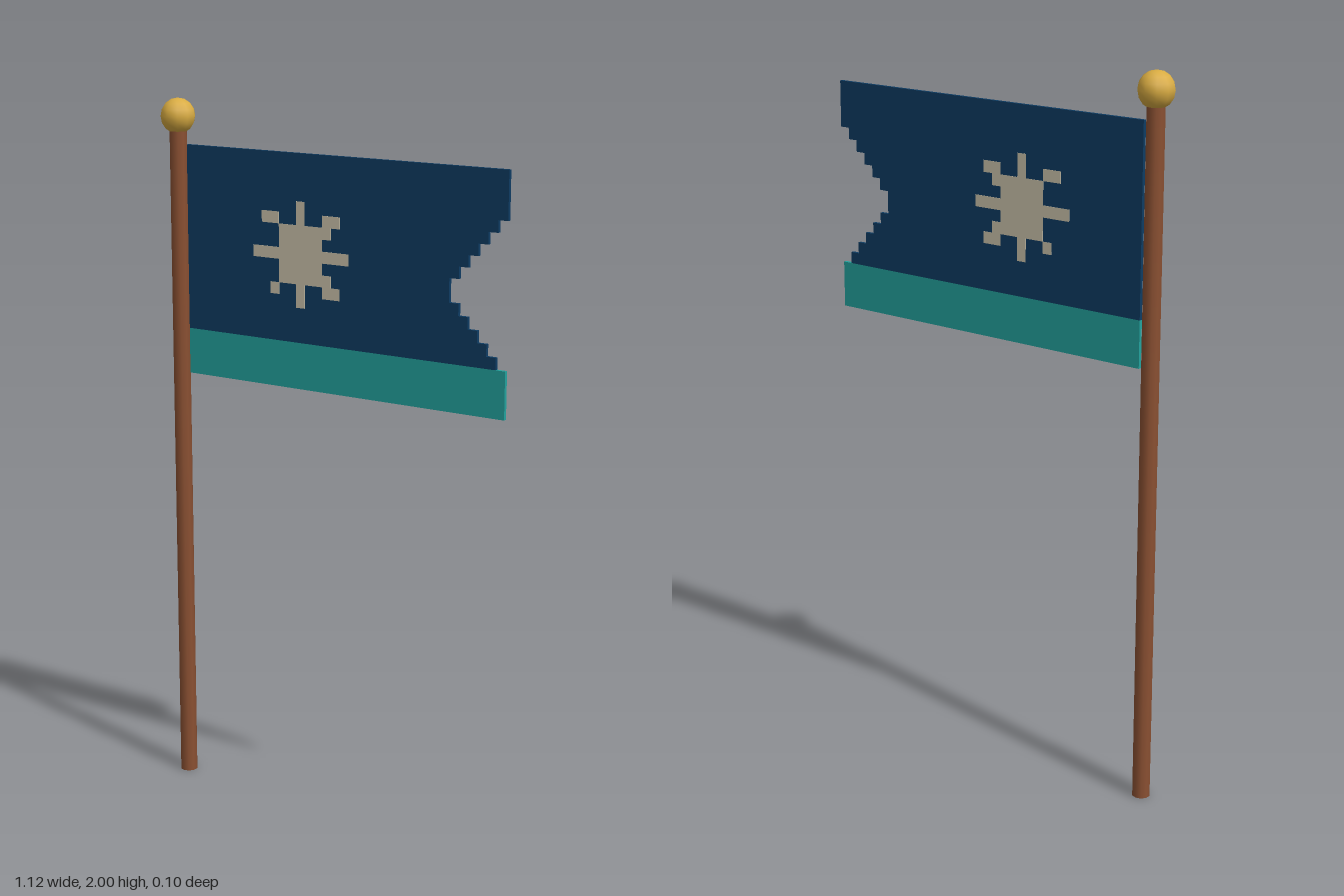
import * as THREE from 'three';

const mat = (name, color) => {
  const m = new THREE.MeshStandardMaterial({ color });
  m.name = name;
  return m;
};

// Flag is laid out on a grid of 36 columns by 20 rows, counted from its top left
const LEFT = -0.483, RIGHT = 0.558, TOP = 1.872, BOTTOM = 1.222;
const CW = (RIGHT - LEFT) / 36, RH = (TOP - BOTTOM) / 20;
const THICK = 0.01, FLAG_Z = -0.006, POLE_X = -0.512;
const colX = c => LEFT + c * CW;
const rowY = r => TOP - r * RH;

export function createModel() {
  const model = new THREE.Group();
  model.name = 'flag on pole';
  const wood = mat('wood brown', 0x8a5032);
  const gold = mat('gold', 0xd9ac42);
  const navy = mat('navy cloth', 0x0e3c63);
  const teal = mat('teal cloth', 0x23a39e);
  const cream = mat('cream', 0xcdc4ad);

  const add = (name, geometry, material, x, y, z, parent = model) => {
    const mesh = new THREE.Mesh(geometry, material);
    mesh.name = name;
    mesh.position.set(x, y, z);
    parent.add(mesh);
    return mesh;
  };

  // Pole and ball on top
  add('pole', new THREE.CylinderGeometry(0.025, 0.025, 1.92, 10), wood, POLE_X, 0.96, 0);
  const ball = add('finial', new THREE.SphereGeometry(0.05, 10, 8), gold, POLE_X, 1.95, 0);
  ball.rotation.y = Math.PI / 2;

  // Navy field with a stepped notch in the free edge
  const field = new THREE.Shape();
  field.moveTo(colX(0), rowY(16));
  field.lineTo(colX(0), rowY(0));
  field.lineTo(colX(36), rowY(0));
  field.lineTo(colX(36), rowY(4));
  for (let r = 4; r < 16; r++) {
    const cut = r < 10 ? r - 3 : 16 - r;
    field.lineTo(colX(36 - cut), rowY(r));
    field.lineTo(colX(36 - cut), rowY(r + 1));
  }
  add('flagField', new THREE.ExtrudeGeometry(field, { depth: THICK, bevelEnabled: false }),
    navy, 0, 0, FLAG_Z - THICK / 2);

  // Teal band along the bottom
  add('flagBand', new THREE.BoxGeometry(RIGHT - LEFT, RH * 4, THICK), teal,
    (LEFT + RIGHT) / 2, rowY(18), FLAG_Z);

  // Sun emblem showing on both faces: [column, row, columns wide, rows high]
  const sun = new THREE.Group();
  sun.name = 'sunEmblem';
  model.add(sun);
  const cells = [
    [11, 6, 5, 5],                               // body
    [16, 6, 1, 1], [16, 10, 1, 1],               // body corners
    [13, 4, 1, 2], [13, 11, 1, 2],               // upright rays
    [8, 8, 3, 1], [16, 8, 3, 1],                 // level rays
    [9, 5, 2, 1], [16, 5, 2, 1], [10, 11, 1, 1], [16, 11, 2, 1], // corner rays
  ];
  for (const [c, r, w, h] of cells) {
    add('sunPiece', new THREE.BoxGeometry(w * CW, h * RH, THICK + 0.002), cream,
      colX(c + w / 2), rowY(r + h / 2), FLAG_Z, sun);
  }
  return model;
}
